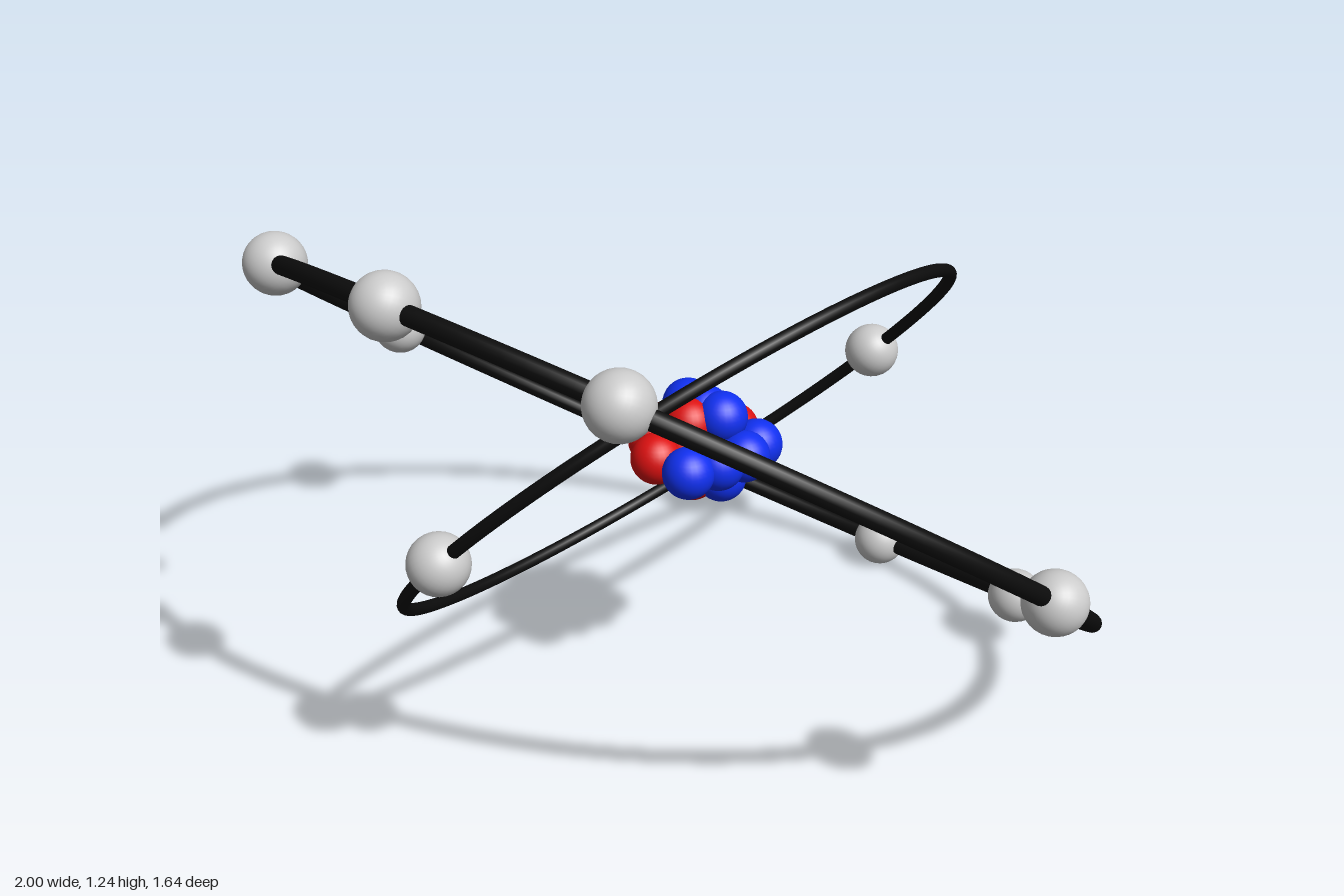
import * as THREE from 'three';

const black = new THREE.MeshStandardMaterial({ color: 0x0c0c0c });
const grey = new THREE.MeshStandardMaterial({ color: 0xcccccc });
const red = new THREE.MeshStandardMaterial({ color: 0xdd1111 });
const blue = new THREE.MeshStandardMaterial({ color: 0x1030f0 });

const electronGeo = new THREE.SphereGeometry(0.063, 32, 20);
const nucleonGeo = new THREE.SphereGeometry(0.055, 28, 18);

function ball(name, geo, material, x, y, z) {
  const mesh = new THREE.Mesh(geo, material);
  mesh.name = name;
  mesh.position.set(x, y, z);
  return mesh;
}

// A ring with electrons at the given angles (degrees), built in its own xy plane
function orbit(name, radius, tube, angles) {
  const group = new THREE.Group();
  group.name = name;
  const ring = new THREE.Mesh(new THREE.TorusGeometry(radius, tube, 16, 128), black);
  ring.name = name + 'Ring';
  group.add(ring);
  for (const deg of angles) {
    const a = THREE.MathUtils.degToRad(deg);
    group.add(ball('electron', electronGeo, grey, radius * Math.cos(a), radius * Math.sin(a), 0));
  }
  group.position.y = 0.622;
  return group;
}

export function createModel() {
  const model = new THREE.Group();
  model.name = 'atom';

  // Outer orbit, rising towards the front
  const outer = orbit('outerOrbit', 0.937, 0.019, [0, 60, 90, 120, 180, 240, 270, 300]);
  outer.rotation.x = Math.atan2(0.755, 0.555);
  model.add(outer);

  // Inner orbit, rising towards +x
  const inner = orbit('innerOrbit', 0.677, 0.014, [0, 180]);
  inner.rotation.set(0, Math.PI / 2, -Math.PI / 4, 'ZYX');
  model.add(inner);

  // Nucleus: a belt of nucleons with a cap above and below
  const nucleus = new THREE.Group();
  nucleus.name = 'nucleus';
  const protons = [
    [0.06, 0.645, -0.105], [-0.03, 0.645, -0.07], [-0.055, 0.642, -0.02],
    [-0.03, 0.642, 0.05], [0.03, 0.64, 0.105], [0.055, 0.645, 0.04],
    [0.055, 0.705, 0.03], [0.055, 0.578, 0.02],
  ];
  const neutrons = [
    [0.148, 0.645, -0.08], [0.165, 0.645, -0.02], [0.15, 0.645, 0.045], [0.13, 0.645, 0.115],
  ];
  for (const x of [0.007, 0.055, 0.103]) {
    neutrons.push([x, 0.717, -0.018], [x, 0.577, -0.018]);
  }
  protons.forEach((p) => nucleus.add(ball('proton', nucleonGeo, red, ...p)));
  neutrons.forEach((p) => nucleus.add(ball('neutron', nucleonGeo, blue, ...p)));
  model.add(nucleus);

  return model;
}
